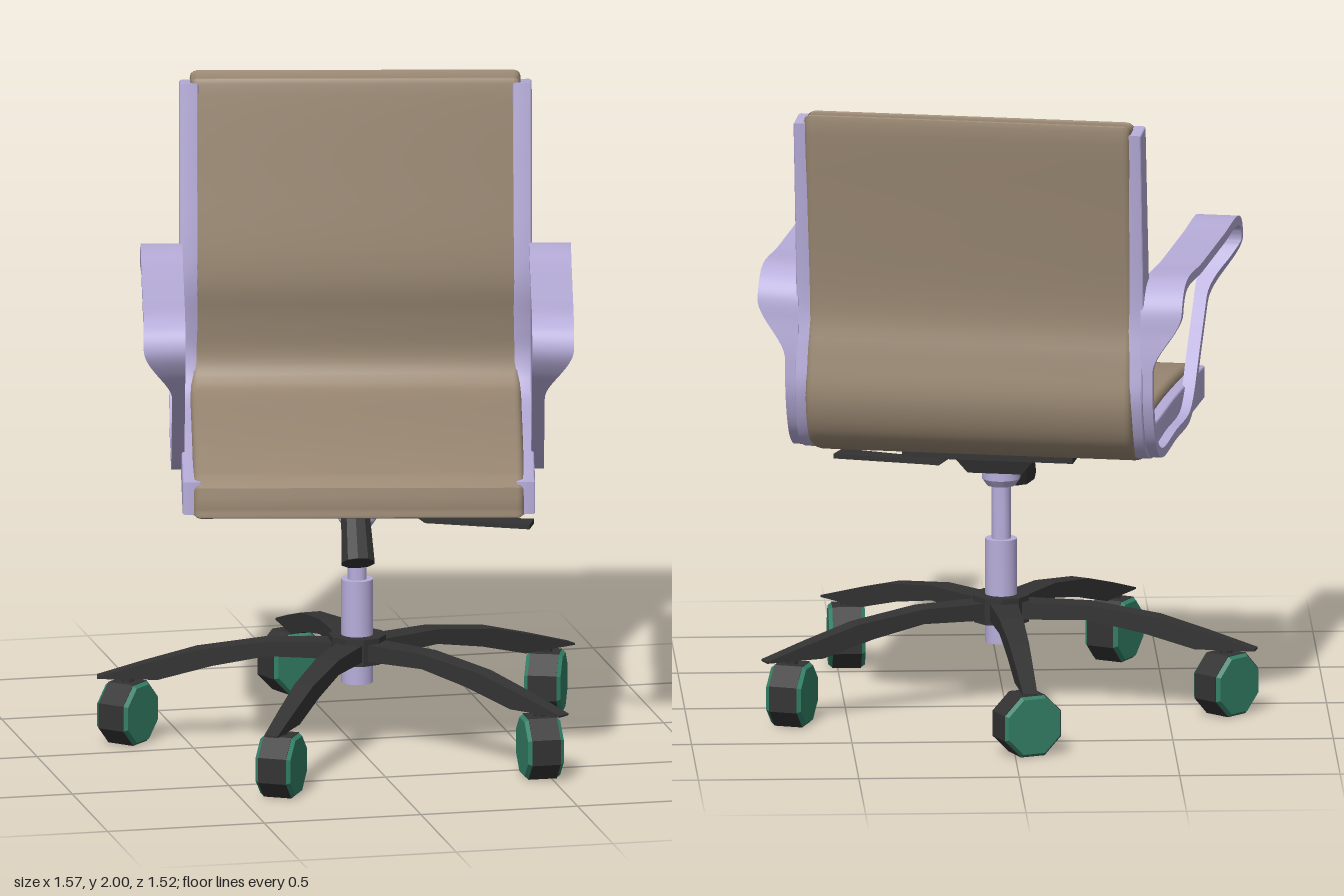
import * as THREE from 'three';
import { toCreasedNormals } from 'three/addons/utils/BufferGeometryUtils.js';

const paint = (color, flat = false) => new THREE.MeshStandardMaterial({ color, flatShading: flat });
const fabric = paint(0x9a8873);
const metal = paint(0xb8aedb);
const metalFlat = paint(0xb8aedb, true);
const dark = paint(0x333333, true);
const green = paint(0x338066, true);

function add(parent, name, geometry, material, x = 0, y = 0, z = 0) {
  const mesh = new THREE.Mesh(geometry, material);
  mesh.name = name;
  mesh.position.set(x, y, z);
  parent.add(mesh);
  return mesh;
}

const vectors = (points) => points.map(([a, b]) => new THREE.Vector2(a, b));

// Extrude a (z, y) side profile to a given width, centred on x = 0
function sideExtrude(points, width, bevel) {
  const geo = new THREE.ExtrudeGeometry(new THREE.Shape(points), {
    depth: width - 2 * bevel, bevelEnabled: bevel > 0, bevelSize: bevel,
    bevelThickness: bevel, bevelOffset: -bevel, bevelSegments: 3,
  });
  geo.translate(0, 0, bevel - width / 2);
  return geo.rotateY(-Math.PI / 2);
}

// One bent profile: inner line from back top to seat front, outer line back again
function bentProfile(inner, outer) {
  const sample = (pts) => new THREE.SplineCurve(vectors(pts)).getPoints(pts.length * 4);
  return [...sample(inner), ...sample(outer)];
}

// Closed ribbon arm: wide armrest on top, narrowing down to the frame
function armGeometry() {
  const path = [
    [-0.51, 1.48], [-0.2, 1.48], [0.2, 1.48], [0.465, 1.48], [0.53, 1.45], [0.553, 1.39], [0.52, 1.315],
    [0.43, 1.215], [0.3, 1.075], [0.18, 0.945], [0.1, 0.905], [-0.15, 0.902], [-0.43, 0.905],
    [-0.53, 0.965], [-0.59, 1.09], [-0.598, 1.2], [-0.59, 1.32], [-0.575, 1.42],
  ];
  const curve = new THREE.CatmullRomCurve3(
    path.map(([z, y]) => new THREE.Vector3(0, y, z)), true, 'centripetal');
  const count = 120, thick = 0.03, inside = 0.54;
  const rings = [];
  for (let i = 0; i < count; i++) {
    const p = curve.getPoint(i / count), t = curve.getTangent(i / count);
    const outside = 0.58 + 0.09 * THREE.MathUtils.smoothstep(p.y, 1.21, 1.4);
    const y = p.y - t.z * thick, z = p.z + t.y * thick;
    rings.push([[inside, p.y, p.z], [outside, p.y, p.z], [outside, y, z], [inside, y, z]]);
  }
  const pos = [];
  for (let i = 0; i < count; i++) {
    const a = rings[i], b = rings[(i + 1) % count];
    for (let k = 0; k < 4; k++) {
      const n = (k + 1) % 4;
      pos.push(...a[k], ...b[k], ...b[n], ...a[k], ...b[n], ...a[n]);
    }
  }
  const geo = new THREE.BufferGeometry();
  geo.setAttribute('position', new THREE.Float32BufferAttribute(pos, 3));
  return toCreasedNormals(geo, 0.6);
}

function buildSeat(parent) {
  const cushion = bentProfile(
    [[-0.555, 1.995], [-0.54, 1.97], [-0.503, 1.7], [-0.468, 1.4], [-0.49, 1.24], [-0.5, 1.12], [-0.465, 1.05],
      [-0.38, 1.027], [0, 1.027], [0.3, 1.015], [0.53, 0.987]],
    [[0.57, 0.96], [0.575, 0.89], [0.54, 0.858], [0.2, 0.855], [-0.25, 0.865], [-0.47, 0.905], [-0.575, 0.965],
      [-0.622, 1.09], [-0.605, 1.24], [-0.583, 1.39], [-0.612, 1.7], [-0.643, 1.975], [-0.625, 2]]);
  add(parent, 'cushion', toCreasedNormals(sideExtrude(cushion, 1.03, 0.022), 0.75), fabric);

  const rail = bentProfile(
    [[-0.535, 1.985], [-0.5, 1.7], [-0.467, 1.4], [-0.49, 1.23], [-0.5, 1.12], [-0.465, 1.035],
      [-0.38, 1.0], [0, 1.0], [0.3, 0.99], [0.558, 0.976]],
    [[0.558, 0.872], [0.1, 0.875], [-0.25, 0.88], [-0.45, 0.905], [-0.55, 0.965], [-0.607, 1.11],
      [-0.598, 1.24], [-0.58, 1.4], [-0.605, 1.7], [-0.633, 1.975]]);
  const railGeo = toCreasedNormals(sideExtrude(rail, 0.06, 0.008), 0.5);
  const arm = armGeometry();
  for (const side of [1, -1]) {
    const name = side > 0 ? 'left' : 'right';
    add(parent, name + 'SideRail', railGeo, metal, side * 0.519);
    add(parent, name + 'Arm', arm, metal).scale.x = side;
  }
}

function buildMechanism(parent) {
  add(parent, 'mountingPlate', new THREE.BoxGeometry(0.54, 0.02, 0.54), dark, -0.01, 0.857, -0.045);
  // Tapered housing
  const housing = new THREE.BoxGeometry(0.31, 0.085, 0.31);
  const p = housing.attributes.position;
  for (let i = 0; i < p.count; i++) {
    if (p.getY(i) < 0) p.setXYZ(i, p.getX(i) * 0.55, p.getY(i), p.getZ(i) * 0.87);
  }
  add(parent, 'housing', housing, dark, -0.01, 0.818, -0.045);

  // Tension knob, leaning forward
  const top = new THREE.Vector3(-0.01, 0.83, 0.23), end = new THREE.Vector3(0, 0.66, 0.33);
  const axis = top.clone().sub(end);
  const knob = add(parent, 'tensionKnob', new THREE.CylinderGeometry(0.045, 0.054, axis.length(), 10), dark);
  knob.position.copy(top).add(end).multiplyScalar(0.5);
  knob.quaternion.setFromUnitVectors(new THREE.Vector3(0, 1, 0), axis.normalize());

  // Height lever: a cranked rod with a flat paddle
  const stem = sideExtrude(vectors([[0.05, 0.8], [0.15, 0.8], [0.215, 0.75], [0.24, 0.75], [0.24, 0.735],
    [0.21, 0.735], [0.14, 0.785], [0.05, 0.785]]), 0.035, 0);
  add(parent, 'leverStem', stem.rotateY(Math.PI / 2), dark, 0, 0, 0.097);
  const paddle = new THREE.ExtrudeGeometry(
    new THREE.Shape(vectors([[0.21, 0.08], [0.55, 0.12], [0.535, 0.2], [0.21, 0.115]])),
    { depth: 0.015, bevelEnabled: false });
  add(parent, 'leverPaddle', paddle.rotateX(Math.PI / 2), dark, 0, 0.75, 0);
}

function buildBase(parent) {
  // Gas column
  const column = vectors([[0, 0.2], [0.05, 0.2], [0.05, 0.53], [0.03, 0.53], [0.03, 0.7], [0.045, 0.7],
    [0.06, 0.722], [0.06, 0.785], [0, 0.785]]);
  const columnGeo = new THREE.LatheGeometry(column, 20);
  add(parent, 'column', toCreasedNormals(columnGeo, 0.5), metal);
  add(parent, 'hub', new THREE.CylinderGeometry(0.09, 0.09, 0.085, 10), dark, 0, 0.31, 0);

  // Arched leg, tapering to the tip
  const legGeo = sideExtrude(vectors([[0.03, 0.28], [0.28, 0.288], [0.45, 0.255], [0.62, 0.208], [0.81, 0.208],
    [0.81, 0.214], [0.66, 0.26], [0.5, 0.305], [0.28, 0.335], [0.03, 0.335]]), 0.09, 0);
  const p = legGeo.attributes.position;
  for (let i = 0; i < p.count; i++) p.setX(i, p.getX(i) * (1 - 0.5 * p.getZ(i) / 0.81));
  legGeo.computeVertexNormals();

  const wheelGeo = new THREE.CylinderGeometry(0.105, 0.105, 0.09, 8).rotateY(Math.PI / 8).rotateZ(Math.PI / 2);
  const capGeo = new THREE.CylinderGeometry(0.094, 0.103, 0.012, 8).rotateY(Math.PI / 8);
  const swivels = [60, 90, 70, 22, 45];
  swivels.forEach((swivel, i) => {
    const angle = THREE.MathUtils.degToRad(-32 + 72 * i);
    add(parent, 'leg', legGeo, dark).rotation.y = angle;
    const caster = new THREE.Group();
    caster.name = 'caster';
    caster.position.set(0.715 * Math.sin(angle), 0.1, 0.715 * Math.cos(angle));
    caster.rotation.y = THREE.MathUtils.degToRad(swivel - 90);
    add(caster, 'wheel', wheelGeo, dark);
    add(caster, 'stem', new THREE.CylinderGeometry(0.02, 0.02, 0.06, 8), dark, 0, 0.09, 0);
    for (const side of [1, -1]) {
      add(caster, 'wheelCap', capGeo, green, side * 0.051).rotation.z = -side * Math.PI / 2;
    }
    parent.add(caster);
  });
}

export function createModel() {
  const chair = new THREE.Group();
  chair.name = 'officeChair';
  chair.position.set(0, 0, 0);
  const base = new THREE.Group();
  base.name = 'base';
  base.position.set(0.012, 0, 0.044);
  buildBase(base);
  // The upper part is swivelled on the column
  const upper = new THREE.Group();
  upper.name = 'swivelSeat';
  upper.position.copy(base.position);
  upper.rotation.y = -0.212;
  buildSeat(upper);
  buildMechanism(upper);
  chair.add(base, upper);
  return chair;
}
